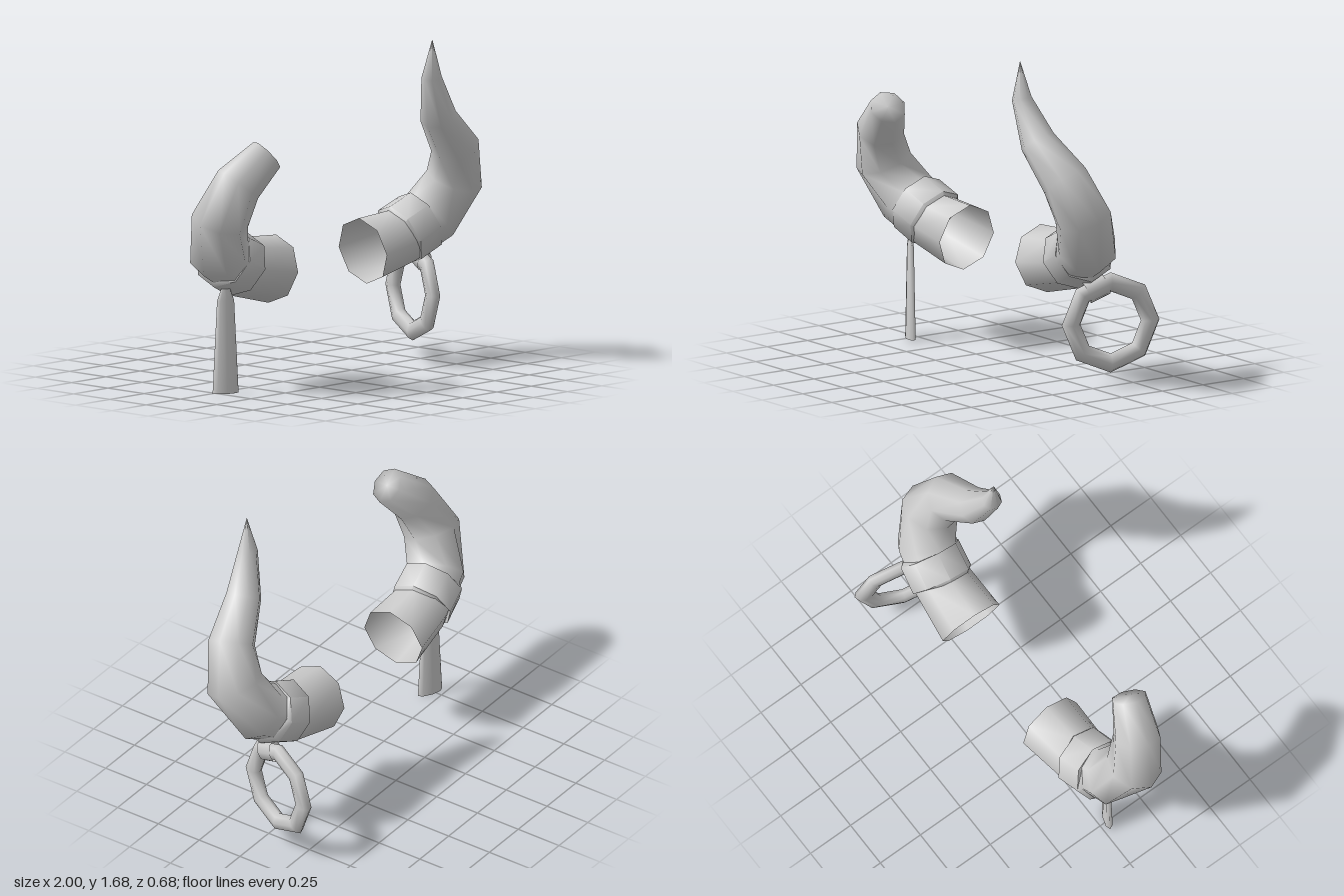
import * as THREE from 'three';
import { toCreasedNormals } from 'three/addons/utils/BufferGeometryUtils.js';

const SIDES = 8;
const material = new THREE.MeshStandardMaterial({ color: 0xcccccc, side: THREE.DoubleSide });

function addMesh(parent, name, geometry) {
  const mesh = new THREE.Mesh(geometry, material);
  mesh.name = name;
  parent.add(mesh);
  return mesh;
}

// Skin of octagonal rings along [x, y, z, radius] stations
function loft(stations) {
  const centres = stations.map(([x, y, z]) => new THREE.Vector3(x, y, z));
  const positions = [], indices = [];
  stations.forEach(([, , , radius], i) => {
    const next = centres[Math.min(i + 1, centres.length - 1)];
    const tangent = next.clone().sub(centres[Math.max(i - 1, 0)]).normalize();
    const n = new THREE.Vector3(0, 0, 1).addScaledVector(tangent, -tangent.z).normalize();
    const b = tangent.clone().cross(n);
    for (let j = 0; j < SIDES; j++) {
      const a = (j / SIDES) * Math.PI * 2;
      const p = centres[i].clone()
        .addScaledVector(n, Math.cos(a) * radius)
        .addScaledVector(b, Math.sin(a) * radius);
      positions.push(p.x, p.y, p.z);
      if (i === stations.length - 1) continue;
      const k = i * SIDES + j, l = i * SIDES + (j + 1) % SIDES;
      indices.push(k, l, k + SIDES, l, l + SIDES, k + SIDES);
    }
  });
  const geometry = new THREE.BufferGeometry();
  geometry.setAttribute('position', new THREE.Float32BufferAttribute(positions, 3));
  geometry.setIndex(indices);
  geometry.computeVertexNormals();
  return geometry;
}

// Stations shared by both horns, then the two different ends
const lowerHorn = [
  [0.33, 0.60, 0.00, 0.172],
  [0.58, 0.642, 0.01, 0.152],
  [0.77, 0.74, 0.05, 0.155],
  [0.855, 0.92, 0.135, 0.145],
  [0.79, 1.105, 0.20, 0.122],
];
const pointedEnd = [
  [0.62, 1.278, 0.245, 0.092],
  [0.533, 1.49, 0.282, 0.051],
  [0.53, 1.68, 0.29, 0.001],
];
const brokenEnd = [
  [0.645, 1.245, 0.26, 0.092],
  [0.642, 1.248, 0.261, 0.001],
];
const bandStations = [
  [0.585, 0.651, 0.010, 0.145],
  [0.588, 0.653, 0.011, 0.167],
  [0.718, 0.712, 0.030, 0.165],
  [0.721, 0.714, 0.031, 0.145],
];

function createHorn(name, side, drop, end) {
  const horn = new THREE.Group();
  horn.name = name;
  const place = ([x, y, z, r]) => [side * x, y - drop, z, r];
  addMesh(horn, 'hornBody', loft([...lowerHorn, ...end].map(place)));
  addMesh(horn, 'hornBand', toCreasedNormals(loft(bandStations.map(place)), 0.9));
  return horn;
}

// Eight-sided ring hanging from a short sleeve
function createRing() {
  const ring = new THREE.Group();
  ring.name = 'hangingRing';
  addMesh(ring, 'ring', new THREE.TorusGeometry(0.208, 0.049, 8, 8));
  const angle = THREE.MathUtils.degToRad(112.5);
  const sleeve = addMesh(ring, 'ringSleeve', new THREE.CylinderGeometry(0.057, 0.057, 0.11, 8, 1, true));
  sleeve.position.set(Math.cos(angle) * 0.194, Math.sin(angle) * 0.194, 0);
  sleeve.rotation.z = angle;
  ring.scale.z = 0.7;
  ring.rotation.y = THREE.MathUtils.degToRad(72);
  ring.position.set(0.785, 0.34, -0.085);
  return ring;
}

// Flattened flaring tag with a tapered top
function createTag() {
  const profile = [[0, 0.005], [0.07, 0.01], [0.046, 0.48], [0.024, 0.54], [0, 0.545]]
    .map(([x, y]) => new THREE.Vector2(x, y));
  const tag = new THREE.Group();
  tag.name = 'hangingTag';
  const body = addMesh(tag, 'tag', toCreasedNormals(new THREE.LatheGeometry(profile, SIDES), 0.9));
  body.scale.z = 0.35;
  tag.rotation.y = THREE.MathUtils.degToRad(-25);
  tag.position.set(-0.732, 0, 0.058);
  return tag;
}

export function createModel() {
  const model = new THREE.Group();
  model.name = 'hornPair';
  model.add(
    createHorn('leftHorn', 1, 0, pointedEnd),
    createHorn('rightHorn', -1, 0.012, brokenEnd),
    createRing(),
    createTag(),
  );
  return model;
}
